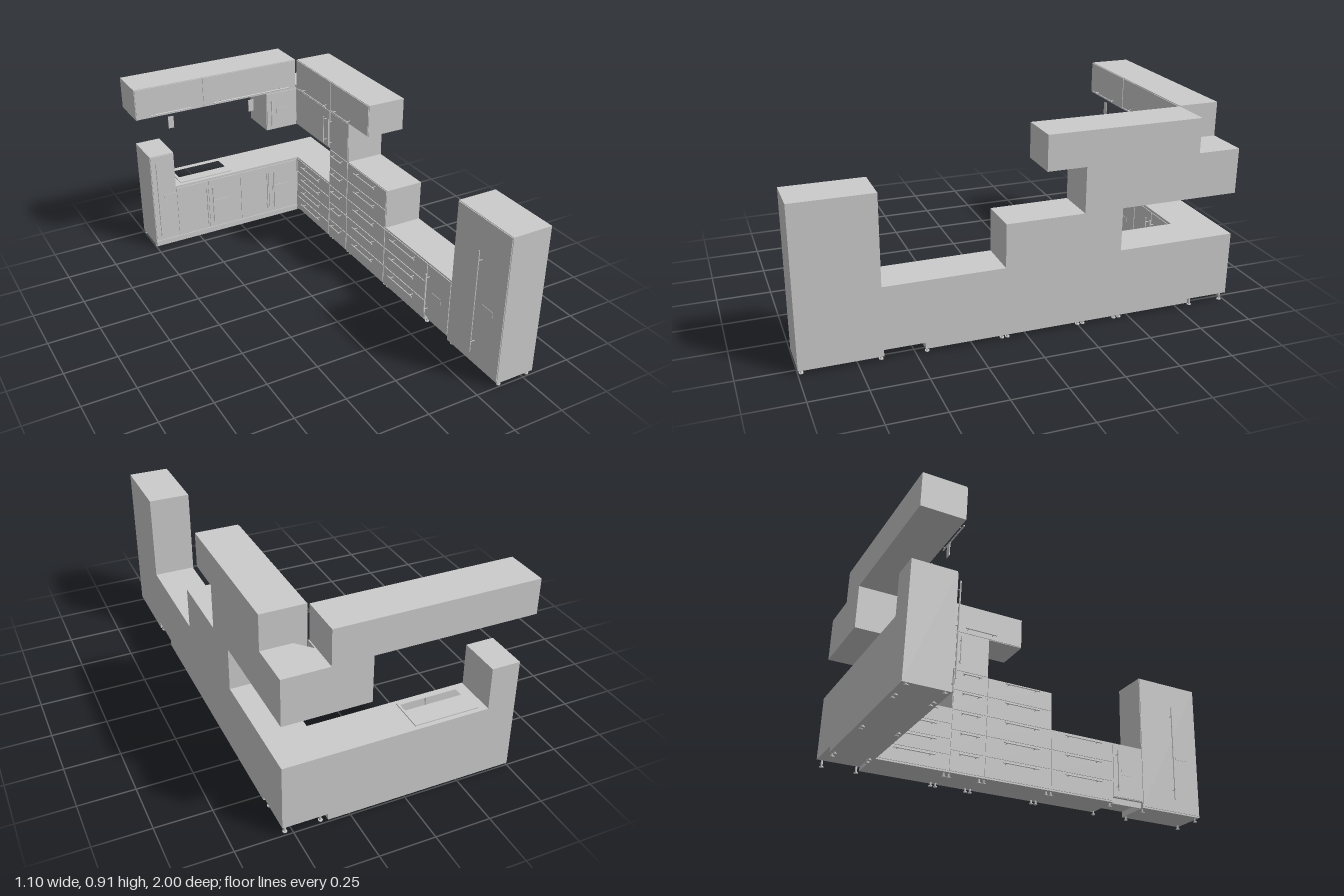
import * as THREE from 'three';

const mat = new THREE.MeshStandardMaterial({ color: 0xcccccc, flatShading: true });
const FRONT = 0.004; // thickness of door and drawer fronts
const GAP = 0.003;

function add(parent, name, geometry) {
  const mesh = new THREE.Mesh(geometry, mat);
  mesh.name = name;
  parent.add(mesh);
  return mesh;
}

// Box given by its limits on each axis
function box(parent, name, x0, x1, y0, y1, z0, z1) {
  const mesh = add(parent, name, new THREE.BoxGeometry(x1 - x0, y1 - y0, z1 - z0));
  mesh.position.set((x0 + x1) / 2, (y0 + y1) / 2, (z0 + z1) / 2);
  return mesh;
}

// Horizontal slab from a floor plan of [x, z] points, with an optional hole
function slab(parent, name, plan, y0, y1, hole) {
  const toPoints = (list) => list.map(([x, z]) => new THREE.Vector2(x, -z));
  const shape = new THREE.Shape(toPoints(plan));
  if (hole) shape.holes.push(new THREE.Path(toPoints(hole)));
  const geometry = new THREE.ExtrudeGeometry(shape, { depth: y1 - y0, bevelEnabled: false });
  geometry.rotateX(-Math.PI / 2);
  add(parent, name, geometry).position.y = y0;
}

const rect = (x0, x1, z0, z1) => [[x0, z0], [x1, z0], [x1, z1], [x0, z1]];

// Bar handle on two posts, standing off the front plane z = 0
function handle(parent, u0, u1, y0, y1) {
  const group = new THREE.Group();
  group.name = 'handle';
  const upright = y1 - y0 > u1 - u0;
  const length = upright ? y1 - y0 : u1 - u0;
  const bar = add(group, 'handleBar', new THREE.CylinderGeometry(0.0035, 0.0035, length, 8));
  bar.position.z = 0.021;
  for (const s of [-1, 1]) {
    const post = add(group, 'handlePost', new THREE.CylinderGeometry(0.002, 0.002, 0.02, 6));
    post.rotation.x = Math.PI / 2;
    post.position.set(0, s * length * 0.4, 0.01);
  }
  if (!upright) group.rotation.z = Math.PI / 2;
  group.position.set((u0 + u1) / 2, (y0 + y1) / 2, 0);
  parent.add(group);
}

// Front panel with gaps; the panel's outer face lies on z = 0
function front(parent, name, u0, u1, y0, y1) {
  box(parent, name, u0 + GAP, u1 - GAP, y0 + GAP, y1 - GAP, -FRONT, 0);
}

function door(parent, u0, u1, y0, y1, handleU, h0, h1) {
  front(parent, 'door', u0, u1, y0, y1);
  handle(parent, handleU - 0.003, handleU + 0.003, h0, h1);
}

function liftDoor(parent, u0, u1, y0, y1, h0, h1) {
  front(parent, 'liftDoor', u0, u1, y0, y1);
  handle(parent, h0, h1, 0.768, 0.774);
}

function drawers(parent, u0, u1, y0, y1, count, h0, h1) {
  const step = (y1 - y0) / count;
  for (let i = 0; i < count; i++) {
    const y = y0 + i * step;
    front(parent, 'drawerFront', u0, u1, y, y + step);
    handle(parent, h0, h1, y + step - 0.022, y + step - 0.016);
  }
}

function plate(parent, u0, u1, y0, y1) {
  box(parent, 'frontPlate', u0, u1, y0, y1, 0, 0.002);
}

function foot(parent, x, z) {
  const leg = add(parent, 'foot', new THREE.CylinderGeometry(0.005, 0.005, 0.03, 8));
  leg.position.set(x, 0.018, z);
  const pad = add(parent, 'footPad', new THREE.CylinderGeometry(0.01, 0.01, 0.004, 10));
  pad.position.set(x, 0.002, z);
}

function backRun() {
  const run = new THREE.Group();
  run.name = 'backRun';
  const zb = -1, zf = -0.8 - FRONT;
  // Carcasses
  box(run, 'tallCabinet', -0.5, -0.37, 0.01, 0.535, zb, zf);
  box(run, 'sinkCabinet', -0.37, 0, 0.01, 0.28, zb, zf);
  box(run, 'baseCabinet', 0, 0.35, 0.01, 0.34, zb, zf);
  box(run, 'wallCabinet', -0.55, 0.345, 0.75, 0.91, zb, zf);
  box(run, 'lowerWallCabinet', 0.17, 0.35, 0.54, 0.75, zb, zf);
  box(run, 'plinth', -0.5, 0.35, 0.01, 0.04, zf, -0.8);
  box(run, 'counterEdge', -0.37, 0.35, 0.328, 0.34, zf, -0.8);
  // Worktop with the open basin and its rim
  const basin = rect(-0.32, -0.05, -0.97, -0.83);
  slab(run, 'worktop', rect(-0.37, 0, zb, zf), 0.28, 0.34, basin);
  slab(run, 'sinkRim', rect(-0.335, -0.04, -0.98, -0.82), 0.34, 0.345, basin);

  const f = new THREE.Group();
  f.name = 'backFronts';
  f.position.z = -0.8;
  run.add(f);
  door(f, -0.5, -0.37, 0.045, 0.535, -0.476, 0.08, 0.51);
  plate(f, -0.44, -0.378, 0.28, 0.308);
  for (const [u0, u1, h] of [[-0.37, -0.19, -0.205], [-0.19, 0, -0.171], [0, 0.17, 0.153], [0.17, 0.35, 0.195]])
    door(f, u0, u1, 0.045, 0.328, h, 0.08, 0.296);
  plate(f, -0.168, -0.073, 0.172, 0.202);
  plate(f, 0.195, 0.288, 0.172, 0.202);
  door(f, 0.17, 0.35, 0.54, 0.75, 0.19, 0.572, 0.715);
  plate(f, 0.226, 0.288, 0.63, 0.658);
  liftDoor(f, -0.55, -0.19, 0.75, 0.91, -0.48, -0.265);
  liftDoor(f, -0.19, 0.345, 0.75, 0.91, -0.14, 0.29);
  // Small plates hanging below the wall cabinets
  for (const u of [-0.385, 0.063]) box(f, 'hangingPlate', u, u + 0.029, 0.675, 0.738, 0, 0.003);

  for (const x of [-0.49, -0.385, -0.355, -0.02, 0.005, 0.335])
    for (const z of [-0.98, -0.825]) foot(run, x, z);
  return run;
}

function sideRun() {
  const run = new THREE.Group();
  run.name = 'sideRun';
  const x0 = 0.35 + FRONT, x1 = 0.548;
  // Carcasses: [name, y0, y1, z0, z1]
  const parts = [
    ['tallCabinet', 0.02, 0.75, 0.64, 1],
    ['applianceCabinet', 0.05, 0.34, 0.46, 0.64],
    ['drawerCabinet', 0.02, 0.34, 0.1, 0.46],
    ['mediumCabinet', 0.02, 0.54, -0.26, 0.1],
    ['columnCabinet', 0.02, 0.75, -0.44, -0.26],
    ['baseCabinet', 0.02, 0.34, -0.8, -0.44],
    ['lowerWallCabinet', 0.54, 0.75, -0.8, -0.44],
    ['wallCabinet', 0.75, 0.91, -0.8, -0.08],
  ];
  for (const [name, ya, yb, za, zb] of parts) box(run, name, x0, x1, ya, yb, za, zb);
  box(run, 'appliancePlinth', 0.37, 0.38, 0.02, 0.05, 0.46, 0.64);
  // Corner units
  box(run, 'cornerBase', 0.35, x1, 0.04, 0.34, -1, -0.8);
  slab(run, 'cornerWallCabinet',
    [[0.35, -1], [x1, -1], [x1, -0.8], [0.41, -0.8], [0.35, -0.865]], 0.54, 0.75);

  // Fronts: local x runs along world z, local z points into the room
  const f = new THREE.Group();
  f.name = 'sideFronts';
  f.rotation.y = -Math.PI / 2;
  f.position.x = 0.35;
  run.add(f);
  door(f, 0.64, 1, 0.025, 0.75, 0.83, 0.09, 0.61);
  plate(f, 0.86, 0.93, 0.32, 0.35);
  door(f, 0.46, 0.64, 0.05, 0.335, 0.48, 0.08, 0.296);
  plate(f, 0.51, 0.575, 0.172, 0.202);
  drawers(f, 0.1, 0.46, 0.025, 0.335, 3, 0.17, 0.38);
  drawers(f, -0.26, 0.1, 0.025, 0.54, 5, -0.17, 0.02);
  drawers(f, -0.44, -0.26, 0.025, 0.54, 5, -0.4, -0.3);
  door(f, -0.44, -0.26, 0.54, 0.75, -0.42, 0.572, 0.715);
  drawers(f, -0.8, -0.44, 0.025, 0.335, 4, -0.72, -0.52);
  door(f, -0.8, -0.44, 0.54, 0.75, -0.47, 0.572, 0.715);
  liftDoor(f, -0.44, -0.08, 0.75, 0.91, -0.4, -0.23);
  liftDoor(f, -0.8, -0.44, 0.75, 0.91, -0.73, -0.45);

  for (const z of [0.985, 0.65, 0.45, 0.11, 0.085, -0.25, -0.275, -0.43, -0.455, -0.82, -0.98])
    for (const x of [0.375, 0.53]) foot(run, x, z);
  return run;
}

export function createModel() {
  const model = new THREE.Group();
  model.name = 'cornerKitchen';
  model.add(backRun(), sideRun());
  return model;
}
